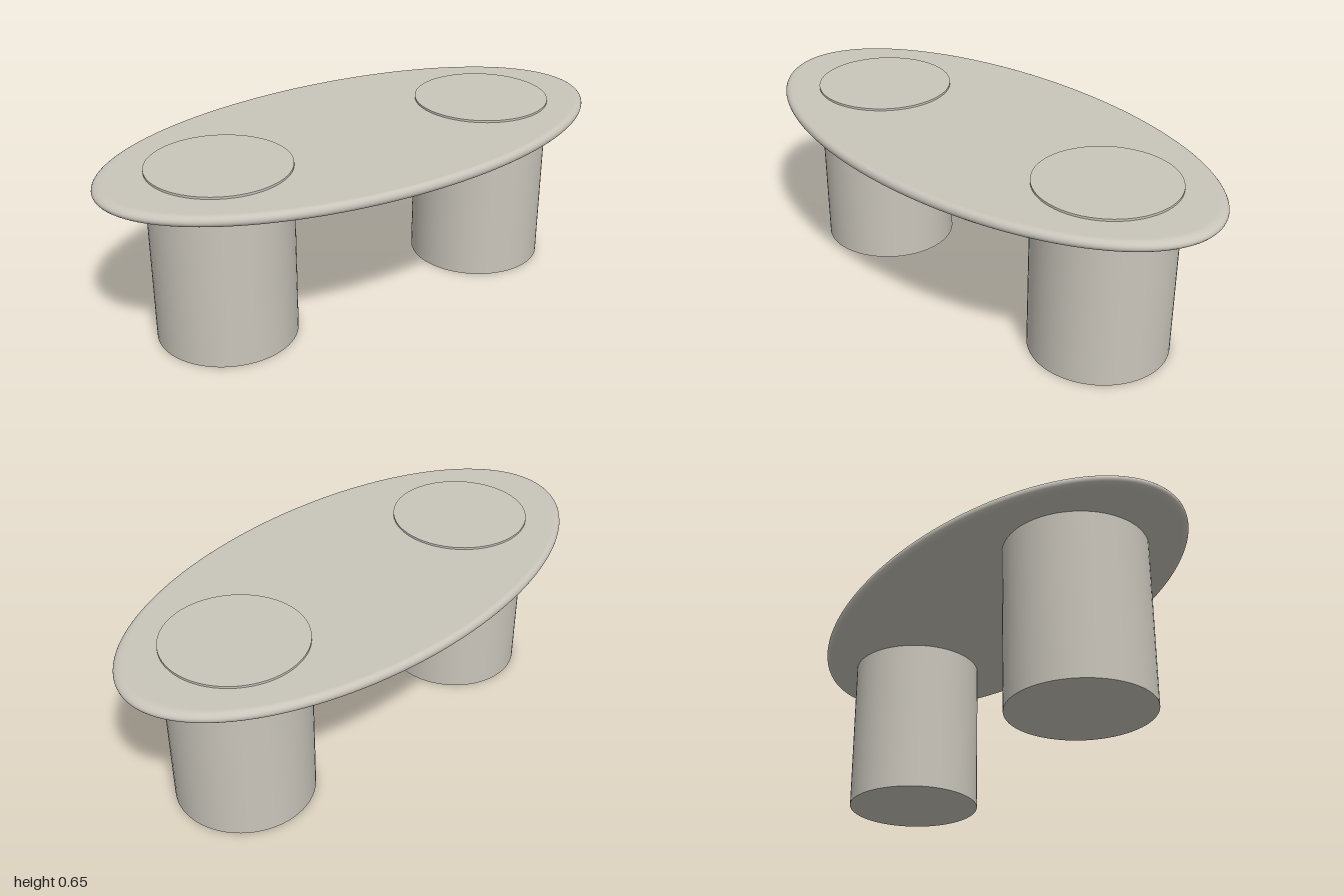
import * as THREE from 'three';

export function createModel() {
  const group = new THREE.Group();
  const stone = new THREE.MeshStandardMaterial({ color: 0xc9c5bb });
  stone.name = 'warm grey stone';

  // Oval top: turned disc with a rounded rim, squashed into an ellipse
  const yMid = 0.62, half = 0.02, rim = 0.035;
  const profile = [new THREE.Vector2(0, yMid - half), new THREE.Vector2(0.955, yMid - half)];
  for (let i = 0; i <= 12; i++) {
    const a = -Math.PI / 2 + (i / 12) * Math.PI;
    profile.push(new THREE.Vector2(1 - rim + rim * Math.cos(a), yMid + half * Math.sin(a)));
  }
  profile.push(new THREE.Vector2(0.955, yMid + half), new THREE.Vector2(0, yMid + half));
  const topGeometry = new THREE.LatheGeometry(profile, 128);
  topGeometry.scale(1, 1, 0.505);
  const top = new THREE.Mesh(topGeometry, stone);
  top.name = 'tableTop';
  group.add(top);

  // Round pedestals, passing through the top and standing slightly proud of it
  const height = 0.648;
  const legGeometry = new THREE.CylinderGeometry(0.254, 0.254, height, 64);
  for (const [name, x] of [['rightLeg', -0.563], ['leftLeg', 0.575]]) {
    const leg = new THREE.Mesh(legGeometry, stone);
    leg.name = name;
    leg.position.set(x, height / 2, 0);
    group.add(leg);
  }
  return group;
}
